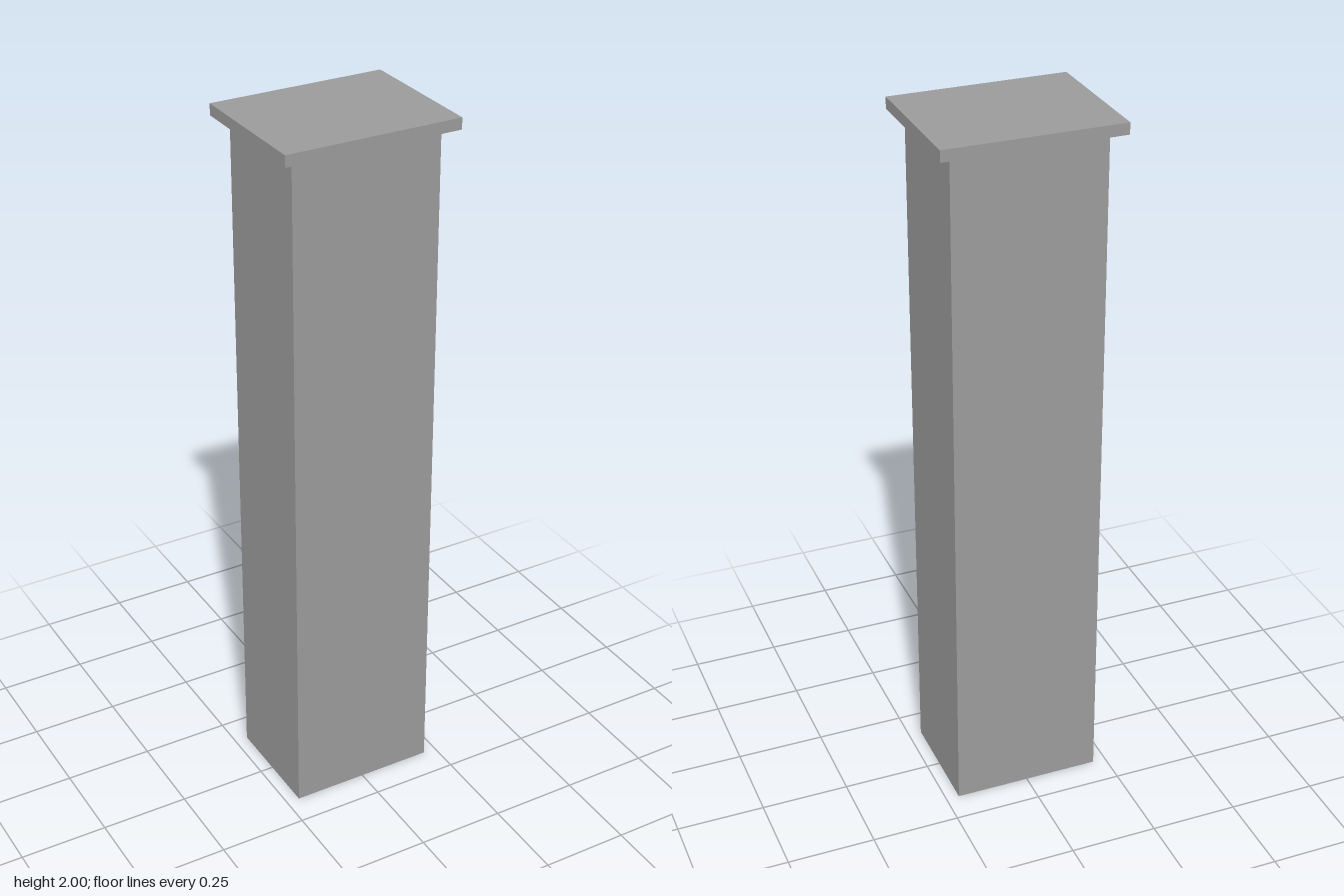
import * as THREE from 'three';

export function createModel() {
  const model = new THREE.Group();
  model.name = 'pillar';
  const color = 0x9b9b9b;
  const capHeight = 0.032, shaftHeight = 2 - capHeight;
  const halfX = 0.212, halfZ = 0.162;

  // Hollow shaft: four thin walls, open at the bottom
  const shaft = new THREE.Group();
  shaft.name = 'shaft';
  const wallMaterial = new THREE.MeshStandardMaterial({ color, side: THREE.DoubleSide });
  const walls = ['frontWall', 'leftWall', 'backWall', 'rightWall'];
  walls.forEach((name, i) => {
    const angle = i * Math.PI / 2;
    const [half, out] = i % 2 ? [halfZ, halfX] : [halfX, halfZ];
    const wall = new THREE.Mesh(new THREE.PlaneGeometry(half * 2, shaftHeight), wallMaterial);
    wall.name = name;
    wall.rotation.y = angle;
    wall.position.set(Math.sin(angle) * out, shaftHeight / 2, Math.cos(angle) * out);
    shaft.add(wall);
  });
  model.add(shaft);

  // Overhanging flat cap
  const cap = new THREE.Mesh(
    new THREE.BoxGeometry(0.498, capHeight, 0.396),
    new THREE.MeshStandardMaterial({ color })
  );
  cap.name = 'cap';
  cap.position.y = 2 - capHeight / 2;
  model.add(cap);

  return model;
}
